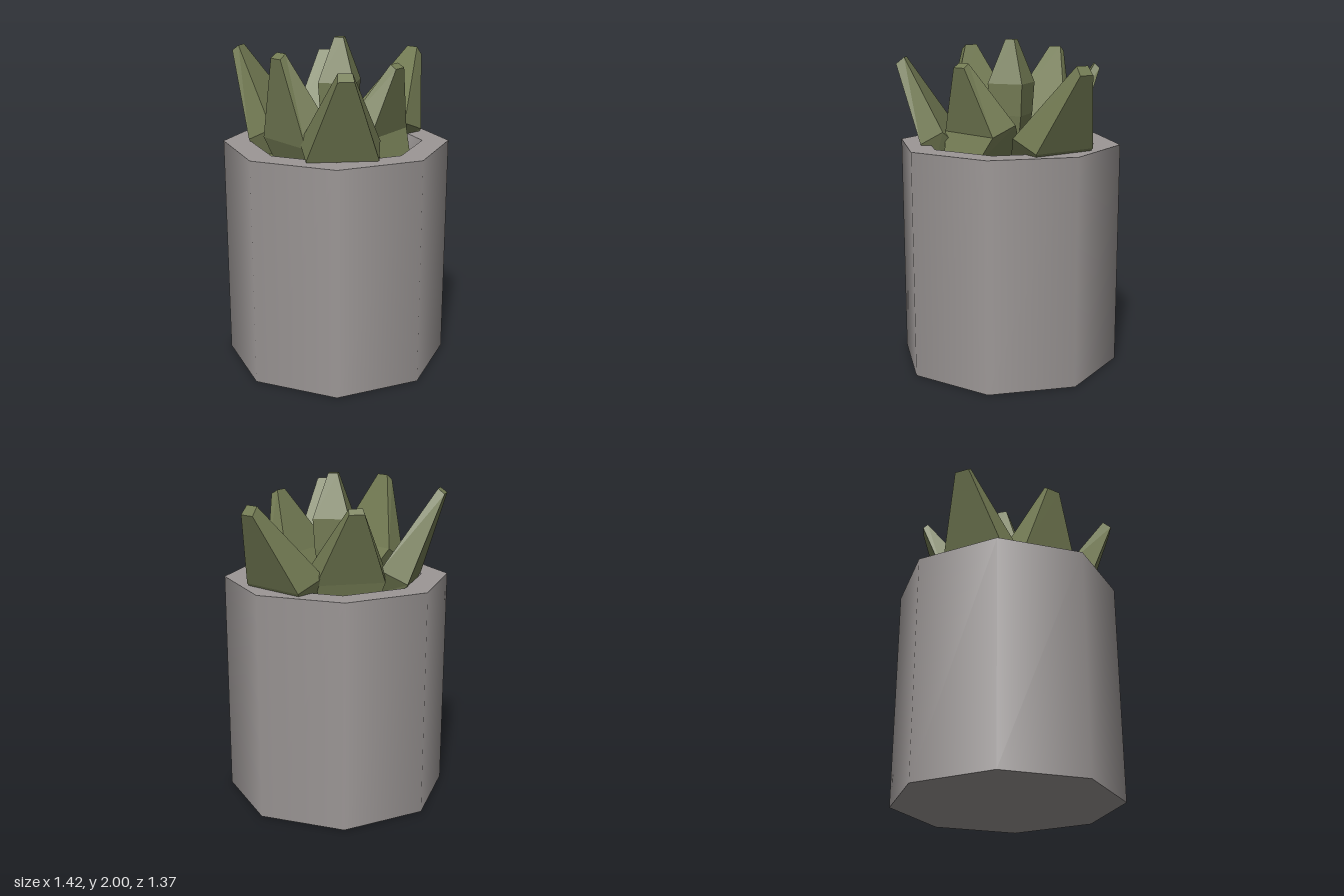
import * as THREE from 'three';

const potGrey = new THREE.MeshStandardMaterial({ color: 0x9c9796, side: THREE.DoubleSide });
potGrey.name = 'potGrey';
const leafGreen = new THREE.MeshStandardMaterial({ color: 0x747c54, flatShading: true });
leafGreen.name = 'leafGreen';

const CX = -0.03, RIM = 1.375, SOIL = 1.3;

// Skin a stack of four-cornered rings, listed bottom to top, and cap the tip.
function loft(rings) {
  const pos = [];
  const tri = (...pts) => pts.forEach((p) => pos.push(...p));
  for (let i = 0; i < rings.length - 1; i++) {
    const lo = rings[i], hi = rings[i + 1];
    for (let a = 0; a < 4; a++) {
      const b = (a + 1) % 4;
      tri(lo[a], lo[b], hi[b]);
      tri(lo[a], hi[b], hi[a]);
    }
  }
  const t = rings[rings.length - 1];
  tri(t[0], t[1], t[2]);
  tri(t[0], t[2], t[3]);
  const g = new THREE.BufferGeometry();
  g.setAttribute('position', new THREE.Float32BufferAttribute(pos, 3));
  g.computeVertexNormals();
  return g;
}

// Outer leaf: each ring has an inner and an outer edge [reach, height, halfWidth]
// measured from the fold on its upper face.
function leafGeometry({ fold, dir, foldY, mid, tipIn, tipOut, base = [0.08, 1.2] }) {
  const len = Math.hypot(...dir);
  const [ux, uz] = [dir[0] / len, dir[1] / len];
  const at = ([r, y, w]) => [fold[0] + ux * r - uz * w, y, fold[1] + uz * r + ux * w];
  const ring = ([ri, yi, wi], [ro, yo, wo]) =>
    [at([ri, yi, -wi]), at([ri, yi, wi]), at([ro, yo, wo]), at([ro, yo, -wo])];
  return loft([
    ring([-0.18, 1.26, 0.12], [...base, 0.14]),
    ring([0, foldY, 0.23], [...mid, 0.205]),
    ring([...tipIn, 0.04], [...tipOut, 0.045]),
  ]);
}

const LEAVES = [
  { name: 'leftLeaf', fold: [0.34, 0], dir: [1, 0], foldY: 1.46,
    mid: [0.19, 1.39], tipIn: [0.33, 1.88], tipOut: [0.37, 1.83] },
  { name: 'backRightLeaf', fold: [-0.17, -0.295], dir: [-0.42, -0.9], foldY: 1.47,
    mid: [0.16, 1.39], tipIn: [0.29, 1.93], tipOut: [0.33, 1.9] },
  { name: 'backLeftLeaf', fold: [0.14, -0.22], dir: [0.6, -0.8], foldY: 1.47,
    mid: [0.13, 1.41], tipIn: [0.24, 1.86], tipOut: [0.27, 1.83] },
  { name: 'rightLeaf', fold: [-0.29, 0.01], dir: [-1, -0.1], foldY: 1.53,
    mid: [0.16, 1.43], tipIn: [0.17, 1.95], tipOut: [0.21, 1.92] },
  { name: 'frontRightLeaf', fold: [-0.28, 0.28], dir: [-0.64, 0.77], foldY: 1.46,
    mid: [0.14, 1.38], tipIn: [0.26, 1.89], tipOut: [0.31, 1.85] },
  { name: 'frontLeaf', fold: [0.03, 0.19], dir: [0.17, 0.98], foldY: 1.52,
    mid: [0.16, 1.46], tipIn: [0.19, 1.875], tipOut: [0.23, 1.85], base: [0.23, 1.3] },
];

export function createModel() {
  const model = new THREE.Group();
  model.name = 'pottedSucculent';
  const add = (parent, name, geometry, material) => {
    const mesh = new THREE.Mesh(geometry, material);
    mesh.name = name;
    parent.add(mesh);
    return mesh;
  };

  // Eight-sided pot with a flat rim and a slightly tapered inside
  const pot = new THREE.Group();
  pot.name = 'pot';
  pot.position.x = CX;
  model.add(pot);
  add(pot, 'outerWall', new THREE.CylinderGeometry(0.685, 0.685, RIM, 8, 1, true), potGrey)
    .position.y = RIM / 2;
  add(pot, 'innerWall', new THREE.CylinderGeometry(0.525, 0.485, RIM - SOIL, 8, 1, true), potGrey)
    .position.y = (RIM + SOIL) / 2;
  add(pot, 'rim', new THREE.RingGeometry(0.525, 0.685, 8).rotateX(-Math.PI / 2), potGrey)
    .position.y = RIM;
  add(pot, 'floor', new THREE.CircleGeometry(0.685, 8).rotateX(Math.PI / 2), potGrey);

  // Plant
  const plant = new THREE.Group();
  plant.name = 'plant';
  model.add(plant);
  add(plant, 'plantBase', new THREE.CircleGeometry(0.487, 8).rotateX(-Math.PI / 2), leafGreen)
    .position.set(CX, SOIL, 0);
  for (const leaf of LEAVES) add(plant, leaf.name, leafGeometry(leaf), leafGreen);

  // Upright centre leaf: radius and height of each ring
  const spike = [[0.08, 1.26], [0.14, 1.55], [0.155, 1.74], [0.04, 2]].map(([r, y]) =>
    [0, 1, 2, 3].map((i) => {
      const a = (i * Math.PI) / 2 - 0.2;
      return [Math.cos(a) * r, y, -Math.sin(a) * r];
    }));
  add(plant, 'centreLeaf', loft(spike), leafGreen);
  return model;
}
